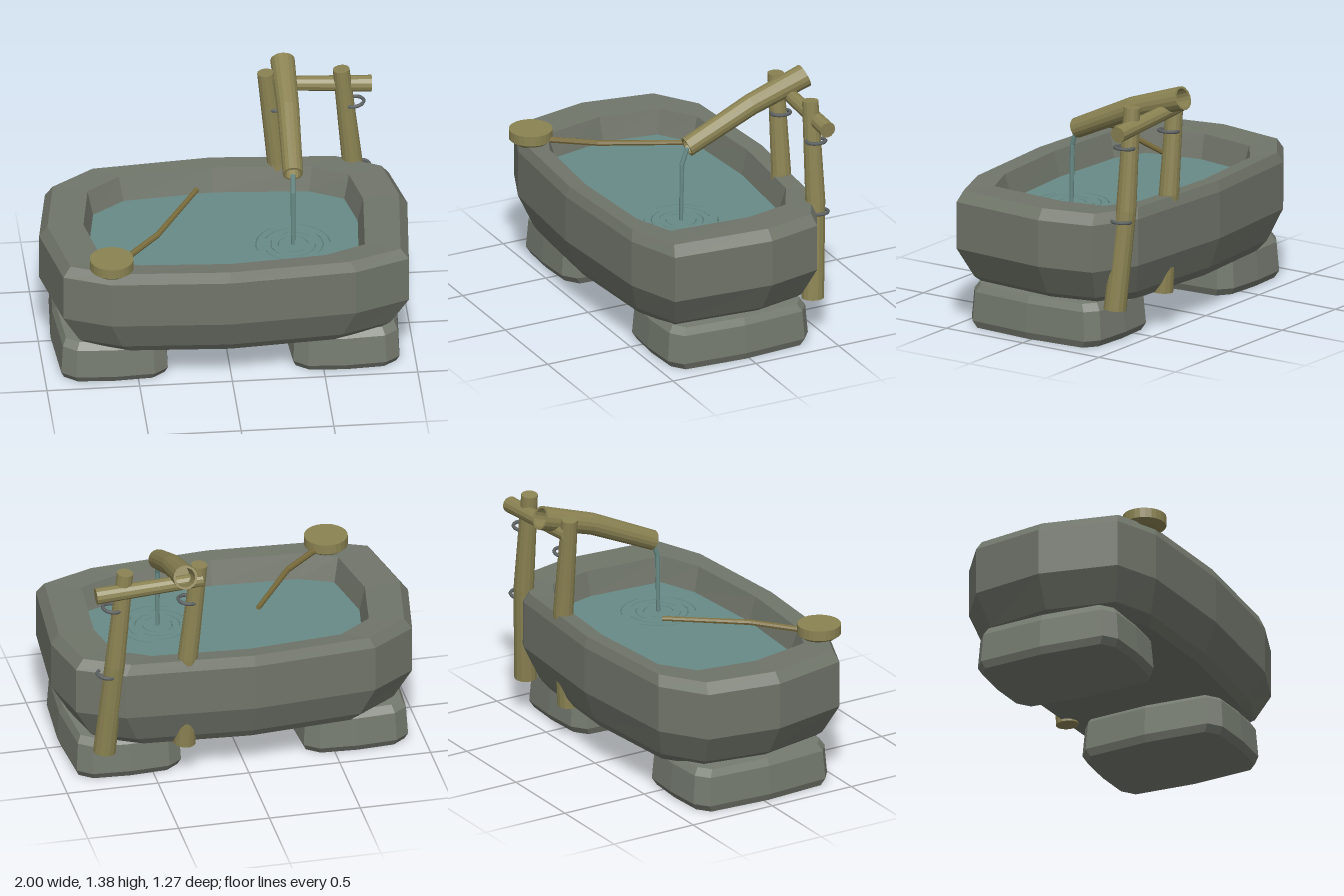
import * as THREE from 'three';

const mat = (name, color) => {
  const m = new THREE.MeshStandardMaterial({ color });
  m.name = name;
  return m;
};

// Faceted skin over a list of closed rings, capped at both ends
function loft(rings) {
  const pos = [];
  const tri = (...corners) => corners.forEach((p) => pos.push(p.x, p.y, p.z));
  const centre = (ring) => ring
    .reduce((sum, p) => sum.add(p), new THREE.Vector3())
    .divideScalar(ring.length);
  const n = rings[0].length;
  const first = rings[0], last = rings[rings.length - 1];
  const c0 = centre(first), c1 = centre(last);
  for (let i = 0; i < n; i++) {
    const j = (i + 1) % n;
    for (let k = 0; k < rings.length - 1; k++) {
      const a = rings[k], b = rings[k + 1];
      tri(a[i], a[j], b[j]);
      tri(a[i], b[j], b[i]);
    }
    tri(c0, first[j], first[i]);
    tri(c1, last[i], last[j]);
  }
  const geo = new THREE.BufferGeometry();
  geo.setAttribute('position', new THREE.Float32BufferAttribute(pos, 3));
  geo.computeVertexNormals();
  return geo;
}

// Stack of scaled copies of an outline; levels are [y, scaleX, scaleZ]
const stack = (outline, levels) => loft(levels.map(([y, sx, sz]) =>
  outline.map(([x, z]) => new THREE.Vector3(x * sx, y, z * sz))));

// Round pole through stations [x, y, z, radius], all cut square to one axis
function pole(stations, sides, axis) {
  const pts = stations.map((s) => new THREE.Vector3(s[0], s[1], s[2]));
  const d = axis ? new THREE.Vector3(...axis).normalize()
    : pts[pts.length - 1].clone().sub(pts[0]).normalize();
  const ref = Math.abs(d.x) > 0.8 ? new THREE.Vector3(0, 1, 0) : new THREE.Vector3(1, 0, 0);
  const v = d.clone().cross(ref).normalize();
  const u = v.clone().cross(d);
  return loft(stations.map((s, k) => Array.from({ length: sides }, (_, i) => {
    const a = (i / sides) * Math.PI * 2;
    return pts[k].clone()
      .addScaledVector(u, Math.cos(a) * s[3])
      .addScaledVector(v, Math.sin(a) * s[3]);
  })));
}

export function createModel() {
  const group = new THREE.Group();
  const stone = mat('basin stone', 0x70756a);
  const footStone = mat('foot stone', 0x757b70);
  const bamboo = mat('bamboo', 0x8b8353);
  const darkBamboo = mat('dark bamboo', 0x7a6c3c);
  const water = mat('water', 0x688b87);
  const wire = mat('binding wire', 0x5f6464);
  const add = (name, geo, material) => {
    const mesh = new THREE.Mesh(geo, material);
    mesh.name = name;
    group.add(mesh);
    return mesh;
  };

  // Hewn basin: outside from the bottom up, over the rim and down inside
  const outline = [
    [-0.02, 0.625], [0.66, 0.575], [0.955, 0.465], [1, -0.1], [0.93, -0.405], [0.68, -0.53],
    [-0.02, -0.58], [-0.69, -0.525], [-0.93, -0.36], [-1, 0.05], [-0.91, 0.48], [-0.66, 0.585],
  ];
  const waterY = 0.615;
  add('basin', stack(outline, [
    [0.22, 0.83, 0.83], [0.27, 0.9, 0.89], [0.44, 1, 1], [0.7, 1, 1], [0.757, 0.955, 0.965],
    [0.75, 0.76, 0.81], [waterY, 0.73, 0.745], [0.45, 0.68, 0.68],
  ]), stone);
  add('waterSurface', stack(outline, [
    [waterY - 0.008, 0.73, 0.745], [waterY, 0.73, 0.745],
  ]), water);

  // Two foot stones
  const corner = [[0, 1], [0.68, 0.97], [0.92, 0.84], [1, 0], [0.92, -0.84], [0.68, -0.97]];
  const footOutline = [...corner, ...corner.map(([x, z]) => [-x, -z])];
  for (const side of [-1, 1]) {
    const foot = add(side > 0 ? 'leftFoot' : 'rightFoot', stack(footOutline, [
      [0, 0.295, 0.41], [0.04, 0.312, 0.435], [0.2, 0.302, 0.422], [0.24, 0.282, 0.395],
    ]), footStone);
    foot.position.set(side * 0.625, 0, 0.025);
  }

  // Leaning posts with wire bindings
  const binding = (x, y, z) => {
    const ring = add('binding', new THREE.TorusGeometry(0.052, 0.01, 6, 20), wire);
    ring.rotation.set(Math.PI / 2, 0.12, 0);
    ring.position.set(x, y, z);
  };
  add('innerPost', pole([
    [0.345, 0.21, -0.453, 0.062], [0.335, 0.76, -0.493, 0.055], [0.272, 1.32, -0.492, 0.045],
  ], 14), bamboo);
  add('outerPost', pole([
    [0.785, 0.21, -0.453, 0.062], [0.737, 0.76, -0.493, 0.055], [0.68, 1.32, -0.492, 0.045],
  ], 14), bamboo);
  binding(0.335, 1.11, -0.49);
  binding(0.75, 1.11, -0.49);
  binding(0.78, 0.705, -0.49);

  // Crossbar
  add('crossbar', pole([[0.26, 1.24, -0.515, 0.038], [0.845, 1.207, -0.513, 0.045]], 12), bamboo);

  // Spout, hollow at both ends
  add('spout', pole([
    [0.375, 1.27, -0.48, 0.048], [0.375, 1.32, -0.613, 0.053], [0.375, 1.32, -0.613, 0.066],
    [0.375, 1.215, -0.29, 0.06], [0.365, 1.038, 0.09, 0.055], [0.365, 1.038, 0.09, 0.043],
    [0.365, 1.06, 0.04, 0.04],
  ], 16, [-0.01, -0.282, 0.703]), bamboo);

  // Falling water and ripples
  add('stream', pole([
    [0.365, 1.03, 0.09, 0.013], [0.363, 0.94, 0.12, 0.014], [0.363, 0.6, 0.125, 0.011],
  ], 8), water);
  [0.08, 0.12, 0.16, 0.2].forEach((r, k) => {
    for (let i = 0; i < 3; i++) {
      const arc = add('ripple', new THREE.TorusGeometry(r, 0.003, 4, 12, 1.3), water);
      arc.rotation.set(-Math.PI / 2, 0, i * 2.09 + k * 0.7);
      arc.position.set(0.363, waterY, 0.125);
    }
  });

  // Ladle resting on the rim
  add('ladleCup', pole([
    [-0.652, 0.745, 0.512, 0.085], [-0.652, 0.77, 0.512, 0.118], [-0.652, 0.825, 0.512, 0.118],
  ], 24), bamboo);
  add('ladleHandle', pole([
    [-0.58, 0.775, 0.45, 0.017], [-0.38, 0.792, 0.245, 0.016], [-0.13, 0.814, -0.155, 0.014],
  ], 8), darkBamboo);

  return group;
}
